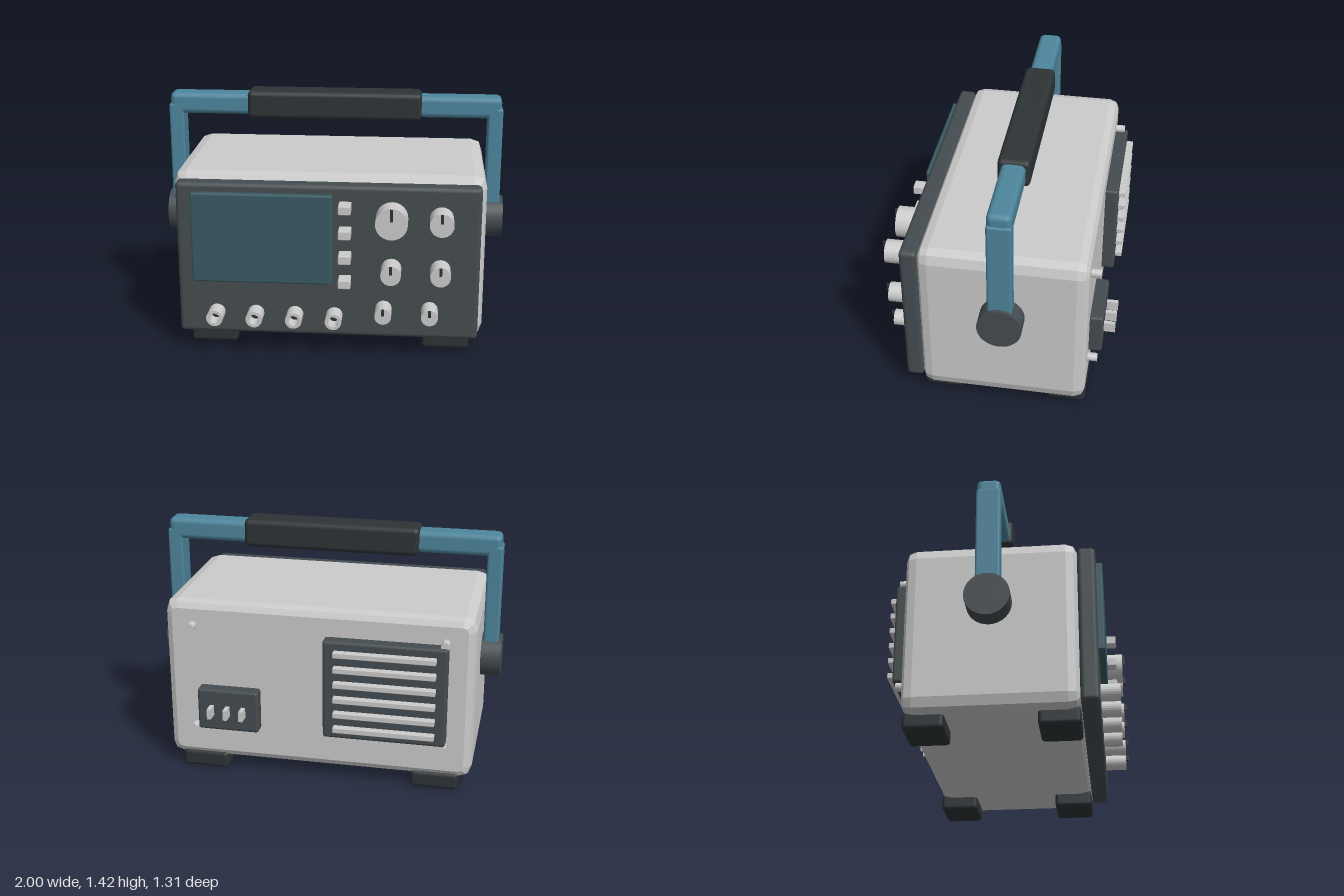
import * as THREE from 'three';
import { RoundedBoxGeometry } from 'three/addons/geometries/RoundedBoxGeometry.js';

const paint = (color) => new THREE.MeshStandardMaterial({ color });
const GREY = paint(0xcccccc), DARK = paint(0x454c50), BLACK = paint(0x2e3336);
const BLUE = paint(0x4d859c), GLASS = paint(0x385a63);

export function createModel() {
  const model = new THREE.Group();
  model.name = 'benchInstrument';

  const add = (name, geometry, material, x = 0, y = 0, z = 0) => {
    const mesh = new THREE.Mesh(geometry, material);
    mesh.name = name;
    mesh.position.set(x, y, z);
    model.add(mesh);
    return mesh;
  };
  // Box given by its limits on each axis, with optional rounded edges
  const box = (name, material, [x0, x1], [y0, y1], [z0, z1], r = 0) => {
    const size = [x1 - x0, y1 - y0, z1 - z0];
    const geometry = r ? new RoundedBoxGeometry(...size, 2, r) : new THREE.BoxGeometry(...size);
    return add(name, geometry, material, (x0 + x1) / 2, (y0 + y1) / 2, (z0 + z1) / 2);
  };
  // Cylinder lying along z between z0 and z1
  const rod = (name, material, x, y, z0, z1, r, sides = 24) =>
    add(name, new THREE.CylinderGeometry(r, r, z1 - z0, sides).rotateX(Math.PI / 2), material, x, y, (z0 + z1) / 2);

  // Case: rounded rectangle extruded front to back with faceted bevels
  const w = 0.885, y0 = 0.075, y1 = 1.035, c = 0.07;
  const outline = new THREE.Shape();
  outline.moveTo(-w + c, y0);
  outline.lineTo(w - c, y0).quadraticCurveTo(w, y0, w, y0 + c);
  outline.lineTo(w, y1 - c).quadraticCurveTo(w, y1, w - c, y1);
  outline.lineTo(-w + c, y1).quadraticCurveTo(-w, y1, -w, y1 - c);
  outline.lineTo(-w, y0 + c).quadraticCurveTo(-w, y0, -w + c, y0);
  const caseGeometry = new THREE.ExtrudeGeometry(outline, {
    depth: 0.81, curveSegments: 2, bevelThickness: 0.06, bevelSize: 0.045, bevelOffset: -0.045, bevelSegments: 2,
  });
  add('case', caseGeometry, GREY, 0, 0, -0.455);

  // Front panel and screen
  box('frontPanel', DARK, [-0.855, 0.855], [0.105, 1.005], [0.415, 0.515], 0.025);
  box('screen', GLASS, [-0.765, 0.03], [0.43, 0.955], [0.5, 0.55], 0.01);

  // Soft keys beside the screen
  for (const y of [0.89, 0.745, 0.6, 0.455])
    box('softKey', GREY, [0.065, 0.135], [y - 0.026, y + 0.026], [0.5, 0.605], 0.006);

  // Knobs with pointer marks
  const knobs = [
    [0.36, 0.83, 0.09], [0.635, 0.83, 0.067], [0.36, 0.53, 0.057],
    [0.635, 0.53, 0.057], [0.32, 0.285, 0.047], [0.58, 0.285, 0.047],
  ];
  for (const [x, y, r] of knobs) {
    rod('knob', GREY, x, y, 0.505, 0.64, r);
    box('knobPointer', BLACK, [x - 0.008, x + 0.008], [y + 0.24 * r, y + r * 0.97], [0.63, 0.657]);
  }

  // Hollow input sockets
  const socketProfile = [[0.03, 0], [0.047, 0], [0.047, 0.115], [0.03, 0.115], [0.03, 0]]
    .map(([r, h]) => new THREE.Vector2(r, h));
  for (const x of [-0.635, -0.41, -0.185, 0.04]) {
    const sleeve = new THREE.LatheGeometry(socketProfile, 24).toNonIndexed().rotateX(Math.PI / 2);
    sleeve.computeVertexNormals();
    add('inputSocket', sleeve, GREY, x, 0.235, 0.507);
    rod('socketCore', BLACK, x, 0.235, 0.505, 0.535, 0.031);
  }

  // Feet, handle arms and pivots on both sides
  for (const s of [-1, 1]) {
    const span = (a, b) => (s > 0 ? [a, b] : [-b, -a]);
    box('frontFoot', BLACK, span(0.54, 0.81), [0, 0.1], [0.193, 0.416], 0.022);
    box('rearFoot', BLACK, span(0.54, 0.81), [0, 0.1], [-0.516, -0.295], 0.022);
    box('handleArm', BLUE, span(0.893, 0.98), [0.67, 1.335], [-0.122, 0.013], 0.014);
    const pivot = new THREE.CylinderGeometry(0.123, 0.123, 0.12, 32).rotateZ(Math.PI / 2);
    add('handlePivot', pivot, DARK, s * 0.94, 0.667, -0.055);
  }

  // Handle crossbar and grip
  box('handleBar', BLUE, [-0.972, 0.972], [1.273, 1.4], [-0.122, 0.013], 0.032);
  box('handleGrip', BLACK, [-0.51, 0.51], [1.255, 1.42], [-0.145, 0.035], 0.03);

  // Rear vent with slats
  box('ventPanel', DARK, [-0.74, -0.045], [0.3, 0.885], [-0.59, -0.505], 0.016);
  for (let i = 0; i < 6; i++) {
    const y = 0.367 + i * 0.0905;
    box('ventSlat', GREY, [-0.68, -0.11], [y - 0.016, y + 0.016], [-0.63, -0.575], 0.004);
  }

  // Power inlet with three prongs
  box('powerInlet', DARK, [0.33, 0.685], [0.285, 0.535], [-0.59, -0.505], 0.016);
  for (const x of [0.415, 0.507, 0.6])
    box('inletProng', GREY, [x - 0.012, x + 0.012], [0.38, 0.44], [-0.655, -0.575]);

  // Rear screws
  for (const x of [-0.72, 0.72])
    for (const y of [0.895, 0.275]) rod('rearScrew', GREY, x, y, -0.57, -0.505, 0.024, 16);

  return model;
}
